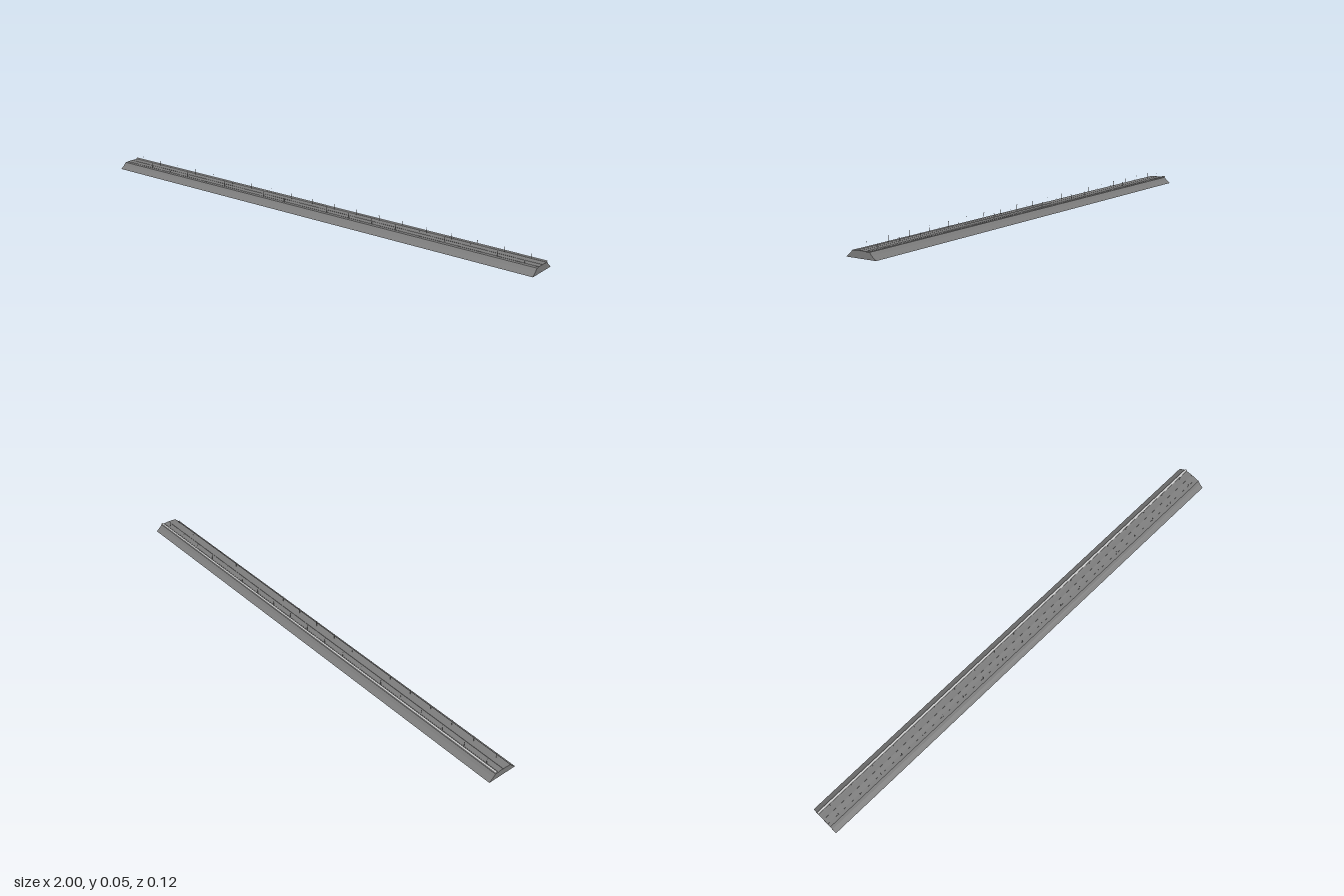
import * as THREE from 'three';

export function createModel() {
  const root = new THREE.Group();
  const paint = (color) => new THREE.MeshStandardMaterial({ color, flatShading: true, side: THREE.DoubleSide });
  const stone = paint(0x7c7c7c);
  const pale = paint(0xe6e6e6);
  const LENGTH = 2;

  const add = (parent, name, geometry, material, x = 0, y = 0, z = 0) => {
    const mesh = new THREE.Mesh(geometry, material);
    mesh.name = name;
    mesh.position.set(x, y, z);
    parent.add(mesh);
  };

  // Sweep a [z, y] cross-section along the full length
  const sweep = (name, material, points) => {
    const shape = new THREE.Shape(points.map(([z, y]) => new THREE.Vector2(-z, y)));
    const geometry = new THREE.ExtrudeGeometry(shape, { depth: LENGTH, bevelEnabled: false });
    geometry.translate(0, 0, -LENGTH / 2).rotateY(Math.PI / 2);
    add(root, name, geometry, material);
  };

  // Earth bank with sloped sides and a flat crown
  sweep('embankment', stone, [
    [0.062, 0], [-0.062, 0], [-0.06, 0.002], [-0.045, 0.014],
    [-0.036, 0.0245], [0.036, 0.0245], [0.045, 0.014], [0.06, 0.002],
  ]);

  // Two carriageways separated by a narrow seam
  for (const s of [-1, 1]) {
    sweep(s > 0 ? 'frontCarriageway' : 'backCarriageway', stone, [
      [s * 0.001, 0.024], [s * 0.022, 0.024], [s * 0.022, 0.0255], [s * 0.001, 0.0262],
    ]);
  }

  // Pale beam along the back edge, on short supports
  sweep('edgeBeam', pale, [
    [-0.028, 0.0265], [-0.0365, 0.0265], [-0.0365, 0.03], [-0.028, 0.03],
  ]);
  for (let i = -19; i <= 19; i++) {
    add(root, 'beamSupport', new THREE.BoxGeometry(0.002, 0.003, 0.002), stone, i * 0.0525, 0.0255, -0.034);
  }

  // Evenly spaced slender posts on both sides, each with a short arm over the road
  const spacing = LENGTH / 19;
  for (const side of [-1, 1]) {
    for (let i = -9; i <= 9; i++) {
      const post = new THREE.Group();
      post.name = 'lampPost';
      post.position.set(i * spacing, 0.024, side * 0.0235);
      add(post, 'pole', new THREE.CylinderGeometry(0.0005, 0.0006, 0.022, 6), stone, 0, 0.011, 0);
      add(post, 'lampArm', new THREE.BoxGeometry(0.001, 0.001, 0.003), stone, 0, 0.0217, -side * 0.001);
      root.add(post);
    }
  }

  return root;
}
